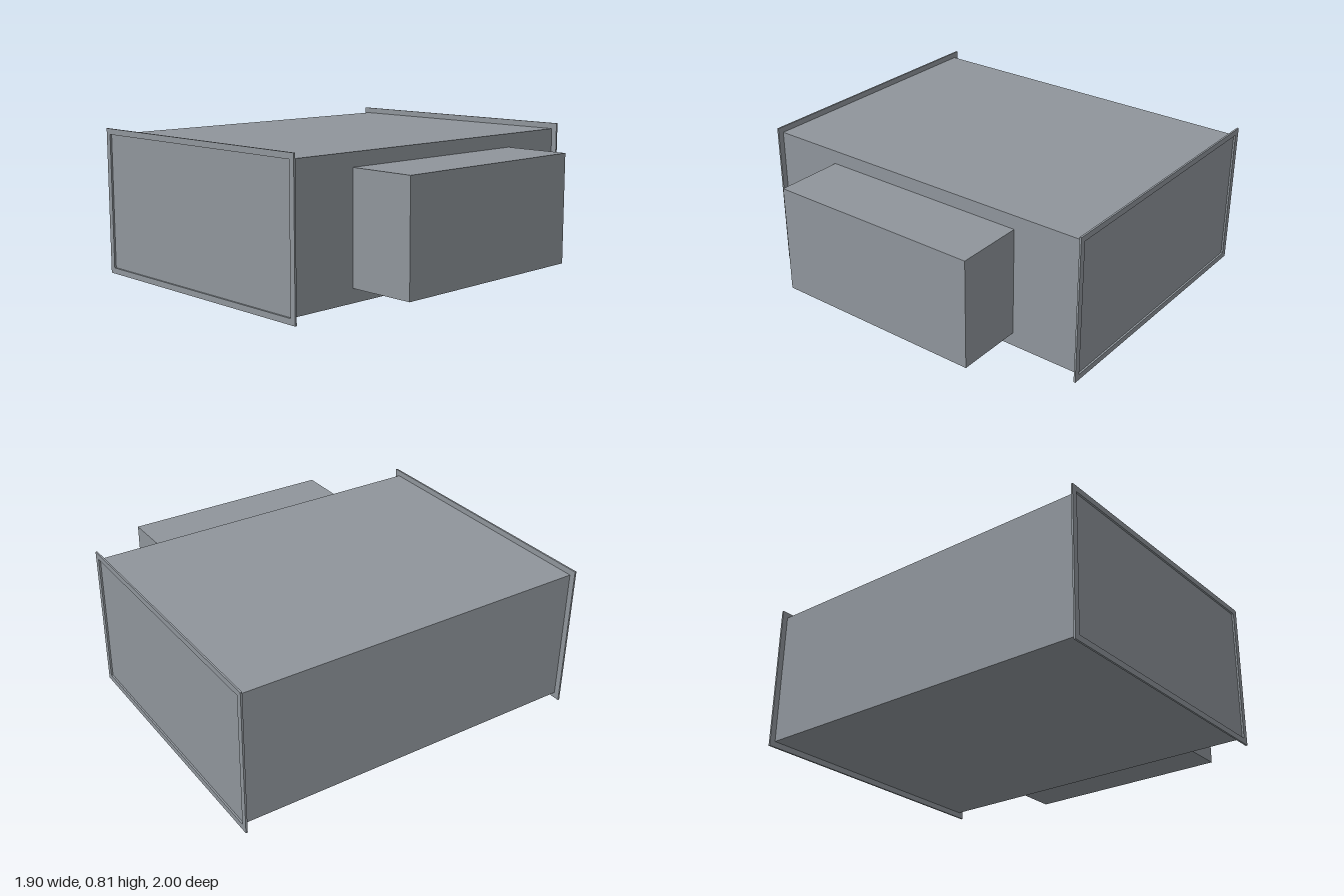
import * as THREE from 'three';

export function createModel() {
  const model = new THREE.Group();
  model.name = 'ductBox';
  const steel = new THREE.MeshStandardMaterial({ color: 0x8f959b });
  steel.name = 'grey steel';

  const add = (name, geometry, x, y, z) => {
    const mesh = new THREE.Mesh(geometry, steel);
    mesh.name = name;
    mesh.position.set(x, y, z);
    model.add(mesh);
  };

  // Casing and the smaller box on its left side
  const cx = -0.173, cy = 0.405, w = 1.49, h = 0.745, t = 0.01, rim = 0.032;
  add('casing', new THREE.BoxGeometry(w, h, 2 - 2 * t), cx, cy, 0);
  const sideX = cx + w / 2;
  add('sideBox', new THREE.BoxGeometry(0.95 - sideX, 0.595, 1.194), (0.95 + sideX) / 2, cy, 0);

  // Thin rectangular flange around each end, leaving the end panel slightly recessed
  const rectangle = (target, a, b) => {
    target.moveTo(-a, -b).lineTo(a, -b).lineTo(a, b).lineTo(-a, b).closePath();
    return target;
  };
  const outline = rectangle(new THREE.Shape(), w / 2 + rim, h / 2 + rim);
  outline.holes.push(rectangle(new THREE.Path(), w / 2, h / 2));
  const flange = new THREE.ExtrudeGeometry(outline, { depth: t, bevelEnabled: false });
  add('frontFlange', flange, cx, cy, 1 - t);
  add('backFlange', flange, cx, cy, -1);

  return model;
}
